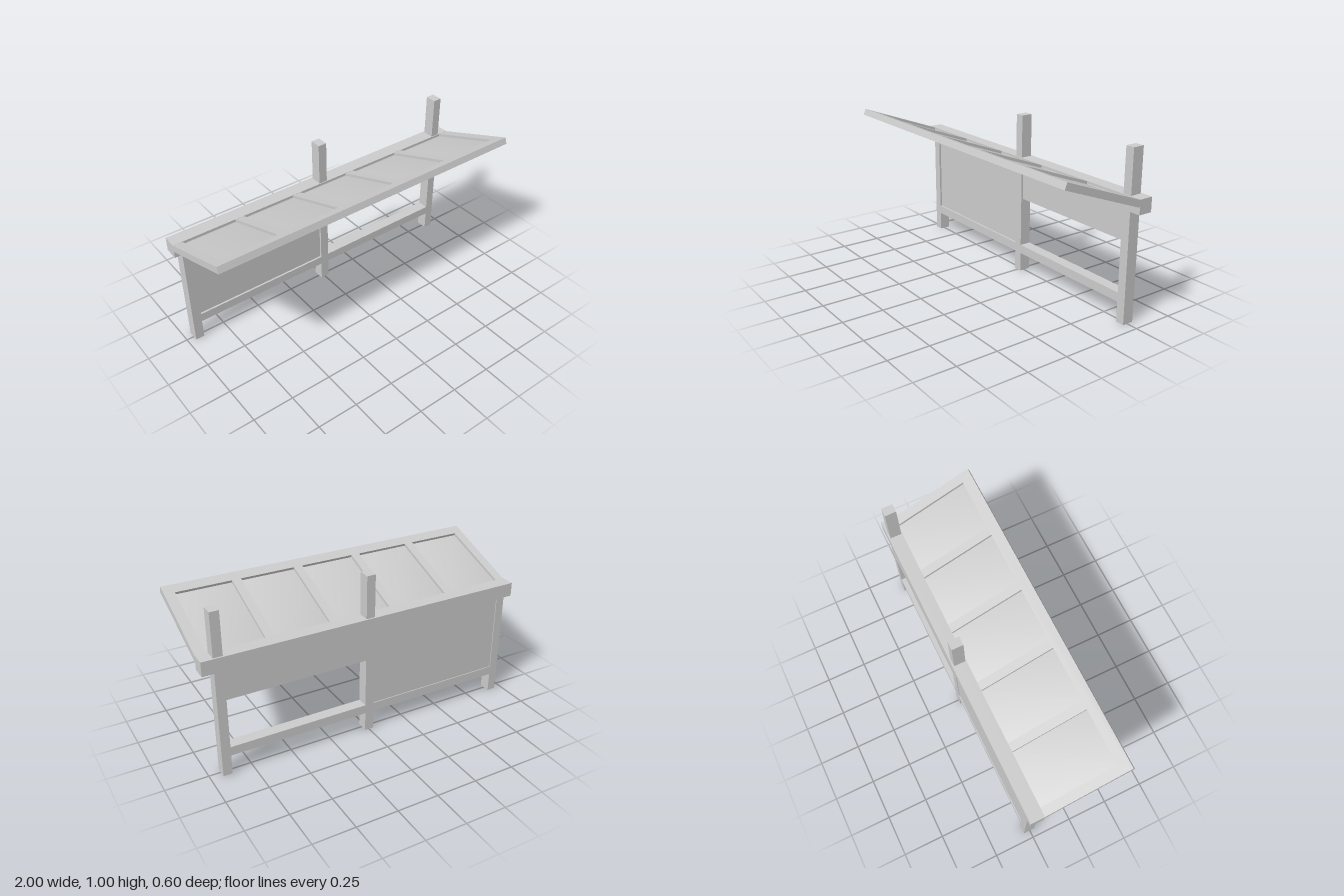
import * as THREE from 'three';
import { mergeVertices } from 'three/addons/utils/BufferGeometryUtils.js';

const material = new THREE.MeshStandardMaterial({ color: 0xcccccc, side: THREE.DoubleSide });

// Drop the triangles whose normal points along -axis, leaving a hollow shell.
function openBelow(geometry, axis) {
  const g = geometry.index ? geometry.toNonIndexed() : geometry;
  const pos = g.attributes.position, nor = g.attributes.normal, points = [];
  for (let i = 0; i < pos.count; i += 3) {
    if (nor.getComponent(i, axis) < -0.9) continue;
    for (let k = i; k < i + 3; k++) points.push(pos.getX(k), pos.getY(k), pos.getZ(k));
  }
  const shell = new THREE.BufferGeometry();
  shell.setAttribute('position', new THREE.Float32BufferAttribute(points, 3));
  shell.computeVertexNormals();
  return shell;
}

function boxGeometry(x0, x1, y0, y1, z0, z1) {
  return new THREE.BoxGeometry(x1 - x0, y1 - y0, z1 - z0)
    .translate((x0 + x1) / 2, (y0 + y1) / 2, (z0 + z1) / 2);
}

function add(parent, name, geometry) {
  const mesh = new THREE.Mesh(geometry, material);
  mesh.name = name;
  parent.add(mesh);
}

function rectangle(Type, x0, x1, y0, y1) {
  return new Type([[x0, y0], [x1, y0], [x1, y1], [x0, y1]].map(p => new THREE.Vector2(...p)));
}

// Sloping frame with five openings, each holding a shallow tray
function createCanopy() {
  const canopy = new THREE.Group();
  canopy.name = 'canopy';
  const length = 0.544, thickness = 0.04, pitch = 0.3875;
  const shape = rectangle(THREE.Shape, -1, 1, 0, length);
  for (let i = -2; i <= 2; i++) {
    const x = i * pitch + 0.0025;
    shape.holes.push(rectangle(THREE.Path, x - 0.167, x + 0.167, 0.005, 0.479));
    // Merged corners give each tray its softly rounded shading.
    const tray = mergeVertices(openBelow(boxGeometry(x - 0.175, x + 0.175, 0.002, 0.505, -0.004, 0.024), 2)
      .deleteAttribute('normal'));
    tray.computeVertexNormals();
    add(canopy, 'canopyTray', tray);
  }
  const frame = new THREE.ExtrudeGeometry(shape, { depth: thickness, bevelEnabled: false });
  add(canopy, 'canopyFrame', openBelow(frame, 2));

  // Local y runs forward up the slope, local z is the slope's upper side.
  const a = Math.atan2(0.19, 0.51), c = Math.cos(a), s = Math.sin(a);
  const basis = new THREE.Matrix4().makeBasis(
    new THREE.Vector3(-1, 0, 0), new THREE.Vector3(0, s, c), new THREE.Vector3(0, c, -s));
  canopy.quaternion.setFromRotationMatrix(basis);
  canopy.position.set(0, 0.7, -0.21);
  return canopy;
}

export function createModel() {
  const model = new THREE.Group();
  model.name = 'shelter';

  // Posts: the one at the right end stops under the beam
  for (const [x, top] of [[-0.927, 0.66], [0, 1], [0.903, 1]]) {
    add(model, 'post', openBelow(boxGeometry(x - 0.027, x + 0.027, 0, top, -0.29, -0.22), 1));
  }

  // Long beam and the low rails between posts
  add(model, 'beam', boxGeometry(-1, 1, 0.657, 0.742, -0.3, -0.215));
  for (const [x0, x1] of [[-0.9, -0.027], [0.027, 0.876]]) {
    add(model, 'lowerRail', boxGeometry(x0, x1, 0.12, 0.175, -0.29, -0.22));
  }

  // Full back panel on one side, short apron on the other
  add(model, 'backPanel', boxGeometry(-0.902, -0.025, 0.173, 0.658, -0.285, -0.232));
  add(model, 'apron', boxGeometry(0.025, 0.878, 0.477, 0.658, -0.29, -0.232));

  model.add(createCanopy());
  return model;
}
